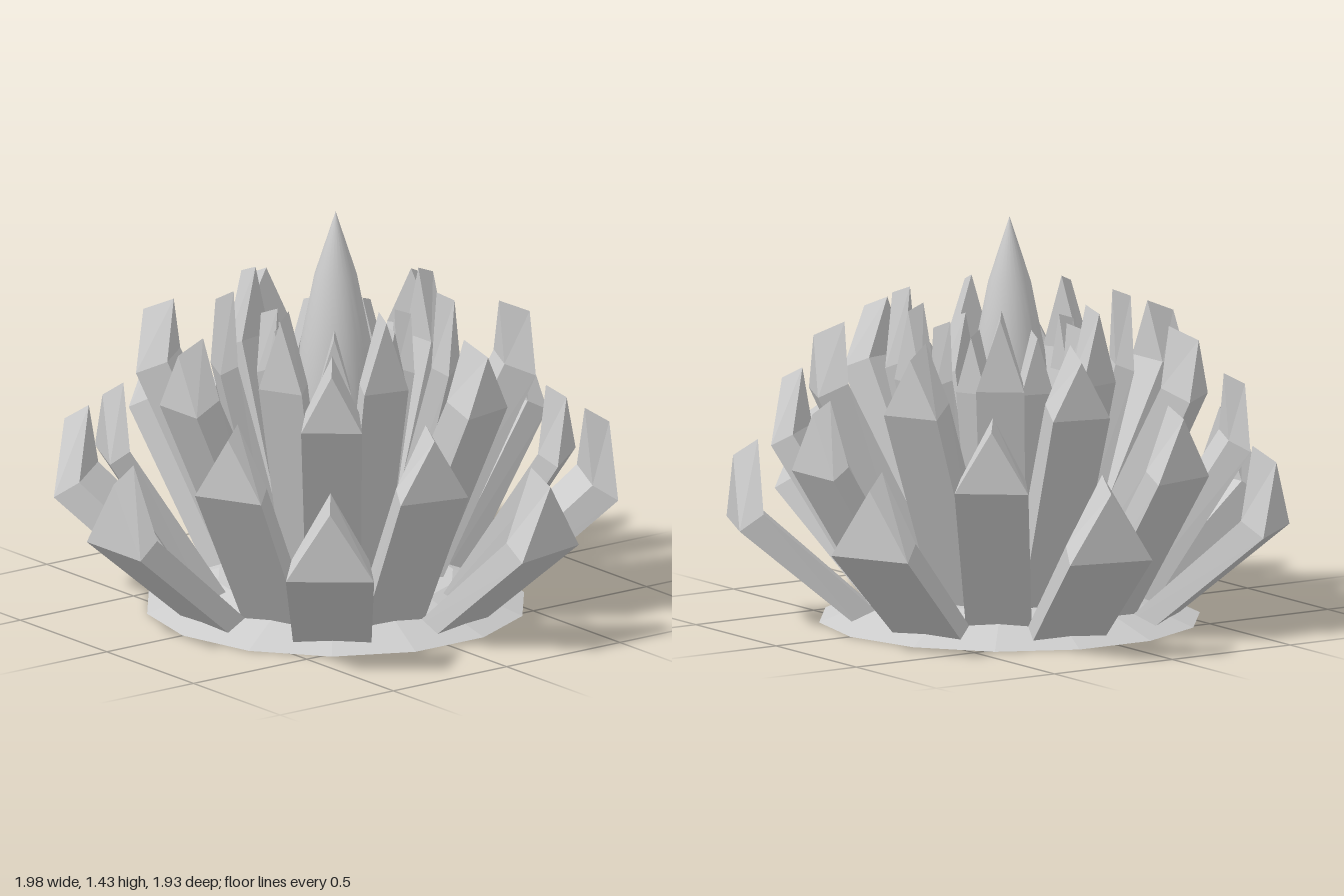
import * as THREE from 'three';

const material = new THREE.MeshStandardMaterial({ color: 0xcccccc, flatShading: true });
const smooth = new THREE.MeshStandardMaterial({ color: 0xcccccc, side: THREE.DoubleSide });

// Thick petal leaning out along +z, with an upright pointed tip.
function petalGeometry({ base, reach, shoulder, tip, half, dr, dy }) {
  const outer = [
    [-half * 0.88, 0, base], [half * 0.88, 0, base],
    [half, shoulder, reach], [0, tip, reach], [-half, shoulder, reach],
  ];
  const inner = outer.map(([x, y, z], i) =>
    [x * 0.88, i < 2 ? 0 : y + dy, z - (i < 2 ? dr * 1.4 : dr)]);
  const pos = [];
  const tri = (a, b, c) => pos.push(...a, ...b, ...c);
  for (const [a, b, c] of [[0, 1, 2], [0, 2, 4], [4, 2, 3]]) {
    tri(outer[a], outer[b], outer[c]);
    tri(inner[a], inner[c], inner[b]);
  }
  for (let i = 0; i < 5; i++) {
    const j = (i + 1) % 5;
    tri(outer[i], inner[i], inner[j]);
    tri(outer[i], inner[j], outer[j]);
  }
  const g = new THREE.BufferGeometry();
  g.setAttribute('position', new THREE.Float32BufferAttribute(pos, 3));
  g.computeVertexNormals();
  return g;
}

export function createModel() {
  const model = new THREE.Group();
  model.name = 'crystalFlower';
  const flower = new THREE.Group();
  flower.name = 'flower';
  flower.position.z = -0.01;
  model.add(flower);

  // Rings of seven petals, each turned half a step from the last
  const rings = [
    { name: 'outerPetal', base: 0.55, reach: 0.98, shoulder: 0.36, tip: 0.605, half: 0.155, dr: 0.088, dy: 0.055 },
    { name: 'secondPetal', base: 0.46, reach: 0.835, shoulder: 0.59, tip: 0.81, half: 0.13, dr: 0.075, dy: 0.04 },
    { name: 'thirdPetal', base: 0.32, reach: 0.695, shoulder: 0.82, tip: 1.025, half: 0.107, dr: 0.11, dy: 0.045 },
    { name: 'fourthPetal', base: 0.22, reach: 0.43, shoulder: 0.88, tip: 1.135, half: 0.085, dr: 0.065, dy: 0.025 },
    { name: 'innerPetal', base: 0.15, reach: 0.27, shoulder: 0.84, tip: 1.04, half: 0.06, dr: 0.06, dy: 0.02 },
  ];
  const step = (Math.PI * 2) / 7;
  rings.forEach((ring, level) => {
    const geometry = petalGeometry(ring);
    for (let i = 0; i < 7; i++) {
      const petal = new THREE.Mesh(geometry, material);
      petal.name = ring.name;
      petal.rotation.y = (i + (level % 2) / 2) * step;
      flower.add(petal);
    }
  });

  // Central spike
  const profile = [[0, 0], [0.08, 0], [0.155, 0.6], [0.125, 0.95], [0.075, 1.2], [0, 1.43]]
    .map(([x, y]) => new THREE.Vector2(x, y));
  const spike = new THREE.Mesh(new THREE.LatheGeometry(profile, 24), smooth);
  spike.name = 'centreSpike';
  flower.add(spike);

  // Fourteen-sided foot with corners under the petals
  const foot = new THREE.Mesh(new THREE.CylinderGeometry(0.42, 0.675, 0.1, 14), material);
  foot.name = 'foot';
  foot.position.y = 0.05;
  flower.add(foot);

  return model;
}
